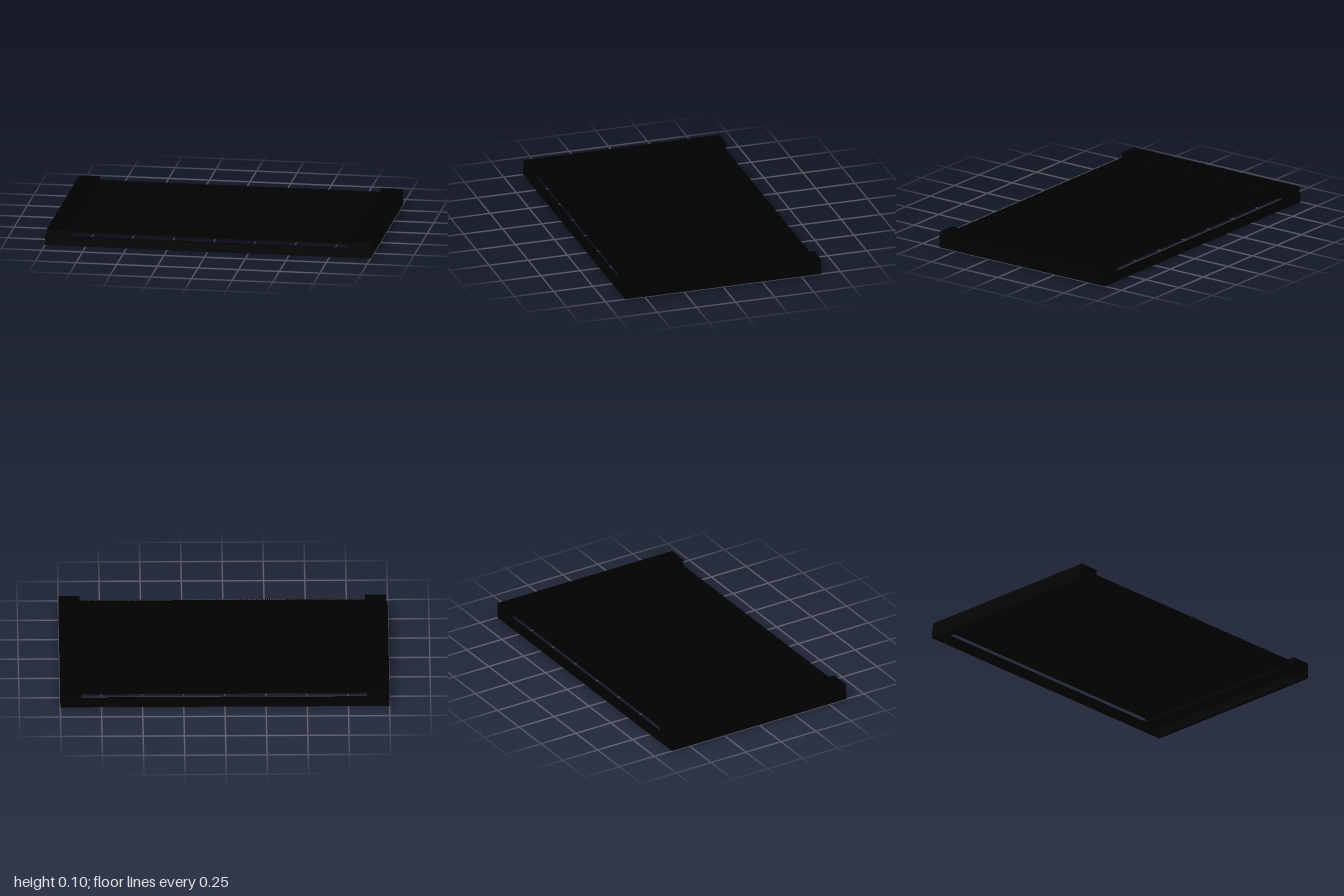
import * as THREE from 'three';
import { mergeGeometries } from 'three/addons/utils/BufferGeometryUtils.js';

export function createModel() {
  const model = new THREE.Group();
  model.name = 'meshScreen';
  const black = new THREE.MeshStandardMaterial({ color: 0x000000 });
  black.name = 'black';

  const add = (name, geometry) => {
    const mesh = new THREE.Mesh(geometry, black);
    mesh.name = name;
    model.add(mesh);
  };
  // Box given by its lower and upper corners
  const box = (x0, y0, z0, x1, y1, z1) =>
    new THREE.BoxGeometry(x1 - x0, y1 - y0, z1 - z0)
      .translate((x0 + x1) / 2, (y0 + y1) / 2, (z0 + z1) / 2);

  // Open base frame
  const H = 0.055, Z = 0.625, rail = 0.025;
  add('frontRail', box(-1, 0, Z - rail, 1, H, Z));
  add('backRail', box(-1, 0, -Z, 1, H, rail - Z));
  add('rightRail', box(-1, 0, rail - Z, rail - 1, H, Z - rail));
  add('leftRail', box(1 - rail, 0, rail - Z, 1, H, Z - rail));

  // Clamping bars on the two short sides
  add('rightClamp', box(-0.99, H, -Z, -0.862, 0.1, Z));
  add('leftClamp', box(0.872, H, -Z, 1, 0.1, Z));

  // Woven screen: a layer of long wires with a layer of cross wires on top
  const wire = 0.006, pitch = 0.0135, halfX = 0.88, halfZ = 0.6;
  const wires = (half, make) => {
    const count = Math.round((2 * half) / pitch);
    const parts = [];
    for (let i = 0; i <= count; i++) {
      const c = (half - wire / 2) * ((2 * i) / count - 1);
      parts.push(make(c - wire / 2, c + wire / 2));
    }
    return mergeGeometries(parts);
  };
  add('longWires', wires(halfZ, (a, b) => box(-halfX, 0.075, a, halfX, 0.075 + wire, b)));
  add('crossWires', wires(halfX, (a, b) => box(a, 0.08, -halfZ, b, 0.08 + wire, halfZ)));

  return model;
}
